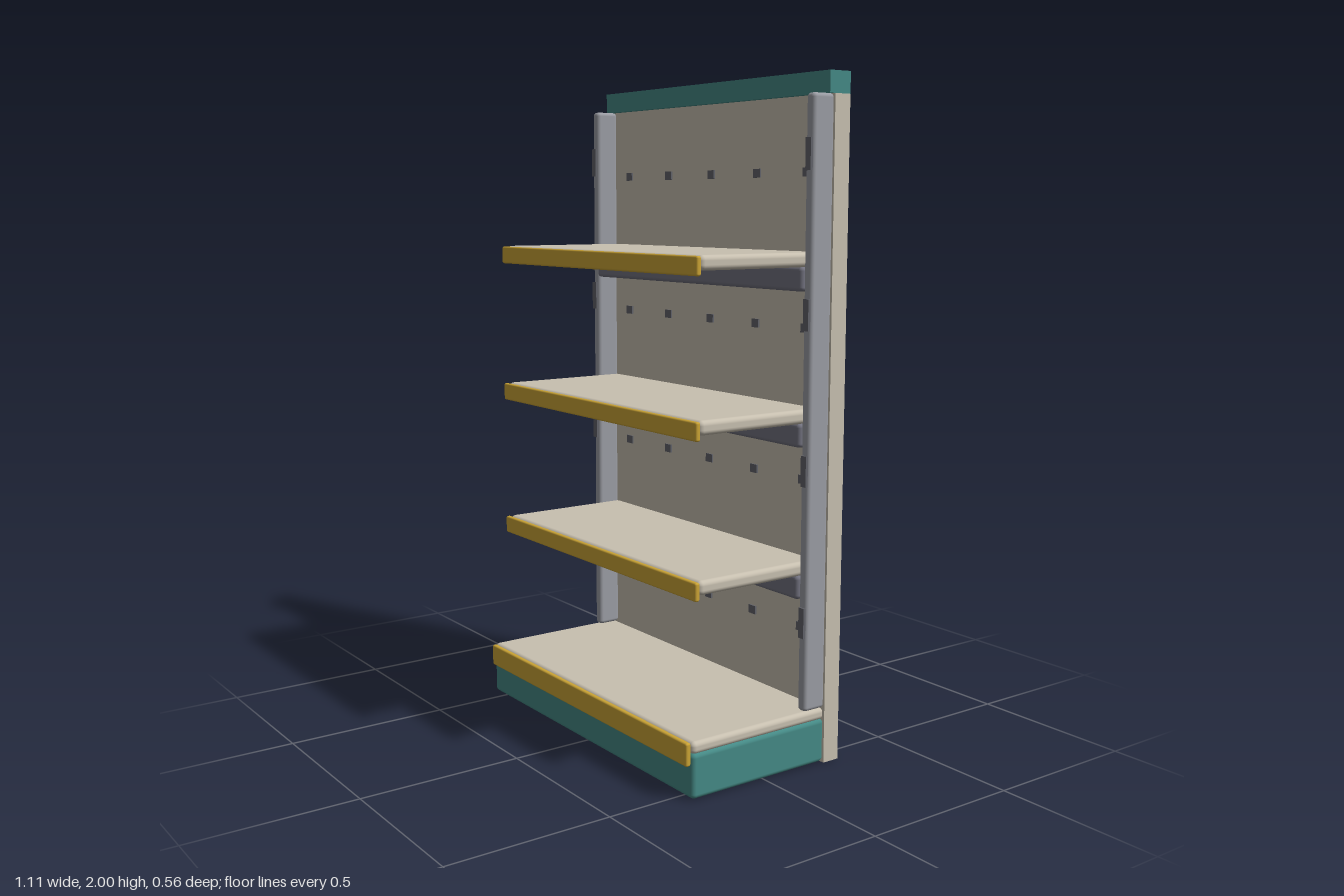
import * as THREE from 'three';
import { RoundedBoxGeometry } from 'three/addons/geometries/RoundedBoxGeometry.js';

const mat = (name, color) => {
  const m = new THREE.MeshStandardMaterial({ color });
  m.name = name;
  return m;
};

export function createModel() {
  const group = new THREE.Group();
  group.name = 'displayShelf';
  const beige = mat('beige', 0xc8c0b0);
  const teal = mat('teal', 0x458a86);
  const yellow = mat('yellow', 0xcba435);
  const steel = mat('steel', 0x9b9da4);
  const darkSteel = mat('darkSteel', 0x72727f);
  const slotGrey = mat('slotGrey', 0x62636a);

  // box given by its min/max corners, with optional rounded edges
  const box = (name, material, [x0, x1], [y0, y1], [z0, z1], r = 0) => {
    const w = x1 - x0, h = y1 - y0, d = z1 - z0;
    const geo = r ? new RoundedBoxGeometry(w, h, d, 3, r) : new THREE.BoxGeometry(w, h, d);
    const mesh = new THREE.Mesh(geo, material);
    mesh.name = name;
    mesh.position.set((x0 + x1) / 2, (y0 + y1) / 2, (z0 + z1) / 2);
    group.add(mesh);
  };

  // back panel and header
  box('backPanel', beige, [-0.555, 0.555], [0, 1.938], [-0.278, -0.222]);
  box('header', teal, [-0.555, 0.555], [1.938, 2], [-0.278, -0.202]);

  // plinth, bottom deck and its price rail
  box('plinth', teal, [-0.555, 0.555], [0.004, 0.137], [-0.222, 0.262], 0.014);
  box('bottomDeck', beige, [-0.555, 0.555], [0.134, 0.17], [-0.222, 0.262], 0.014);
  box('bottomPriceRail', yellow, [-0.545, 0.545], [0.1, 0.168], [0.26, 0.277], 0.006);

  // uprights
  for (const s of [-1, 1]) {
    const c = s * 0.538;
    box('upright', steel, [c - 0.017, c + 0.017], [0.17, 1.938], [-0.222, -0.144], 0.012);
  }

  // shelves with price rail and support beam
  for (let i = 0; i < 3; i++) {
    const top = 0.611 + i * 0.445;
    box('shelf', beige, [-0.521, 0.521], [top - 0.042, top], [-0.222, 0.216], 0.015);
    box('priceRail', yellow, [-0.522, 0.522], [top - 0.056, top - 0.002], [0.214, 0.23], 0.006);
    box('shelfBeam', darkSteel, [-0.521, 0.521], [top - 0.11, top - 0.04], [-0.222, -0.137], 0.012);
  }

  // slots in the uprights and holes in the back panel
  for (let i = 0; i < 4; i++) {
    const y = 0.437 + i * 0.445;
    for (const s of [-1, 1])
      box('uprightSlot', slotGrey, [s * 0.54 - 0.011, s * 0.54 + 0.011],
        [y - 0.045, y + 0.045], [-0.146, -0.138]);
    for (let k = -2; k <= 2; k++)
      box('panelHole', slotGrey, [k * 0.2225 - 0.016, k * 0.2225 + 0.016],
        [y - 0.06, y - 0.034], [-0.224, -0.217]);
  }
  return group;
}
